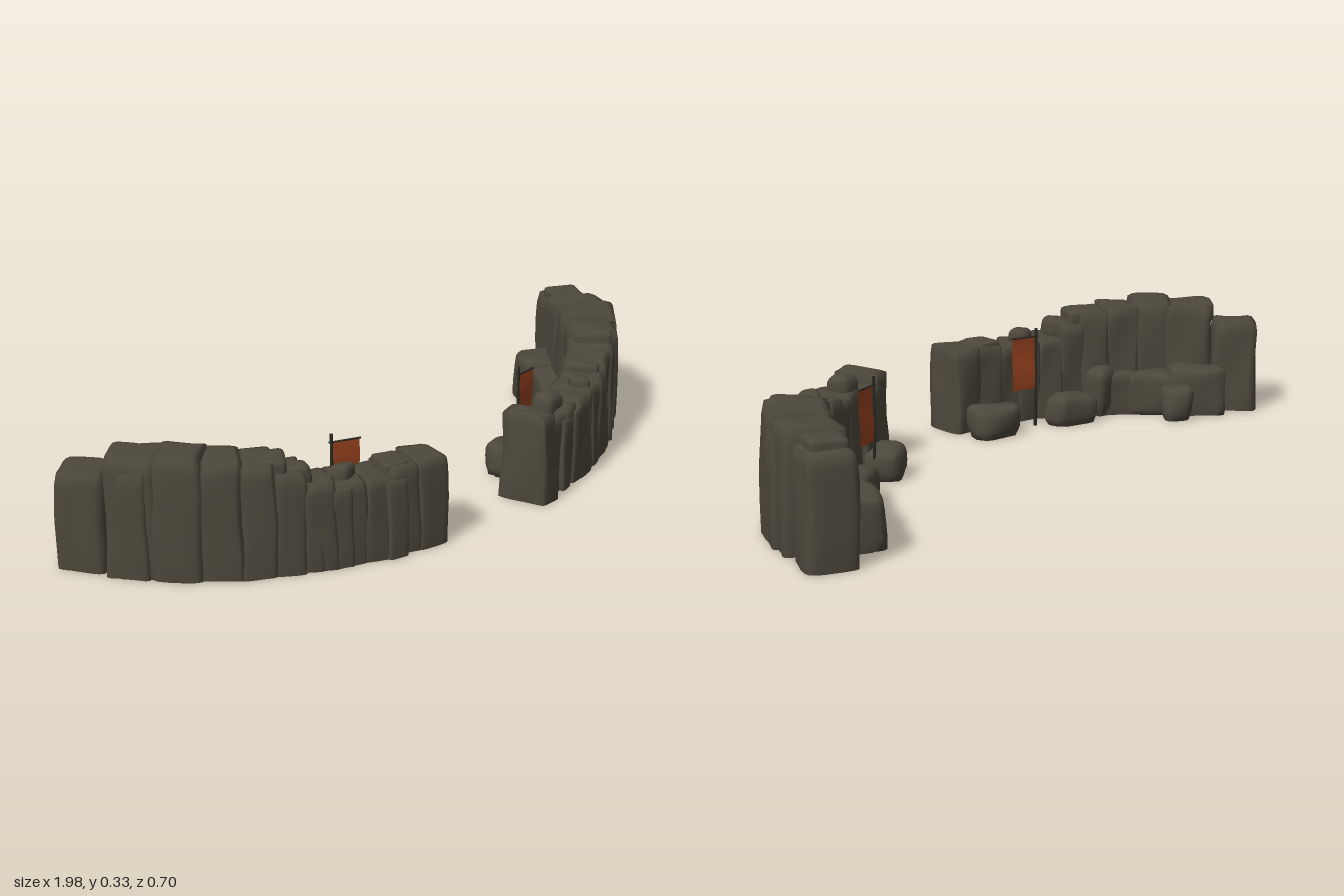
import * as THREE from 'three';
import { mergeVertices } from 'three/addons/utils/BufferGeometryUtils.js';

const rock = new THREE.MeshStandardMaterial({ color: 0x4d483c });
rock.name = 'dark rock';
const cloth = new THREE.MeshStandardMaterial({ color: 0x98421f, side: THREE.DoubleSide });
cloth.name = 'rust cloth';
const wood = new THREE.MeshStandardMaterial({ color: 0x2a2c24 });
wood.name = 'dark pole';

// Weathered stone block standing on its base: rounded edges, slight taper and bulges
function stoneGeometry(w, h, d, seed, round, rough) {
  let g = new THREE.BoxGeometry(2, 2, 2, 5, 6, 5);
  g.deleteAttribute('uv');
  g.deleteAttribute('normal');
  g = mergeVertices(g);
  const half = new THREE.Vector3(w / 2, h / 2, d / 2);
  const r = Math.min(w, h, d) * round;
  const core = half.clone().subScalar(r);
  const low = core.clone().negate();
  const p = new THREE.Vector3(), inner = new THREE.Vector3();
  const pos = g.attributes.position;
  const spread = (u) => Math.sign(u) * Math.pow(Math.abs(u), 0.65);
  for (let i = 0; i < pos.count; i++) {
    p.fromBufferAttribute(pos, i);
    p.set(spread(p.x), spread(p.y), spread(p.z)).multiply(half);
    inner.copy(p).clamp(low, core);
    p.sub(inner).setLength(r).add(inner);
    const t = p.y / h + 0.5;
    const a = Math.sin(p.x * 38 + p.y * 17 + seed * 2.3);
    const b = Math.sin(p.z * 33 - p.y * 21 + seed * 4.1);
    const c = Math.sin(p.x * 31 + p.z * 27 + seed * 1.7);
    p.x = p.x * (1.02 - 0.06 * t) + b * rough;
    p.z = p.z * (1.02 - 0.05 * t) + a * rough;
    const y = p.y + h / 2 + c * rough * t * 0.8;
    pos.setXYZ(i, p.x, t < 0.12 ? 0 : Math.max(0, y), p.z);
  }
  g.computeVertexNormals();
  return g;
}

let count = 0;
// Each row: x, z, yaw in degrees, width, depth, height, base height
function addStones(group, name, rows, round, rough) {
  for (const [x, z, yaw, w, d, h, y = 0] of rows) {
    const m = new THREE.Mesh(stoneGeometry(w, h, d, ++count, round, rough), rock);
    m.name = name;
    m.position.set(x, y, z);
    m.rotation.y = THREE.MathUtils.degToRad(yaw);
    group.add(m);
  }
}

// Pole with a hanging banner running from (x0, z0) to (x1, z1)
function addBanner(group, x0, z0, x1, z1) {
  const banner = new THREE.Group();
  banner.name = 'banner';
  const len = Math.hypot(x1 - x0, z1 - z0);
  const pole = new THREE.Mesh(new THREE.CylinderGeometry(0.004, 0.005, 0.285, 6), wood);
  pole.name = 'bannerPole';
  pole.position.y = 0.1425;
  const arm = new THREE.Mesh(new THREE.CylinderGeometry(0.0025, 0.0025, len + 0.015, 6), wood);
  arm.name = 'bannerArm';
  arm.rotation.z = Math.PI / 2;
  arm.position.set(len / 2, 0.262, 0);
  const g = new THREE.PlaneGeometry(len, 0.15, 3, 5);
  const pos = g.attributes.position;
  for (let i = 0; i < pos.count; i++) pos.setZ(i, 0.003 * Math.sin(pos.getY(i) * 40));
  g.computeVertexNormals();
  const flag = new THREE.Mesh(g, cloth);
  flag.name = 'bannerCloth';
  flag.position.set(len / 2 + 0.003, 0.185, 0);
  banner.add(pole, arm, flag);
  banner.position.set(x0, 0, z0);
  banner.rotation.y = -Math.atan2(z1 - z0, x1 - x0);
  group.add(banner);
}

export function createModel() {
  const model = new THREE.Group();
  model.name = 'rockWalls';

  // Left wall
  const left = new THREE.Group();
  left.name = 'leftWall';
  addStones(left, 'wallSlab', [
    [0.183, 0.275, 12, 0.075, 0.14, 0.245],
    [0.25, 0.245, 15, 0.09, 0.13, 0.215],
    [0.32, 0.235, 17, 0.08, 0.12, 0.222],
    [0.39, 0.215, 20, 0.09, 0.13, 0.215],
    [0.455, 0.185, 25, 0.085, 0.13, 0.23],
    [0.52, 0.158, 30, 0.09, 0.13, 0.24],
    [0.58, 0.12, 35, 0.09, 0.13, 0.265],
    [0.645, 0.075, 40, 0.1, 0.14, 0.275],
    [0.71, 0.02, 46, 0.11, 0.15, 0.305],
    [0.77, -0.05, 52, 0.14, 0.17, 0.322],
    [0.83, -0.145, 57, 0.14, 0.16, 0.312],
    [0.9, -0.263, 60, 0.135, 0.13, 0.282],
  ], 0.13, 0.004);
  // Lower ribs on the outer face and raised caps on the crest
  addStones(left, 'outerRib', [
    [0.3, 0.285, 15, 0.05, 0.05, 0.2],
    [0.36, 0.268, 18, 0.06, 0.05, 0.21],
    [0.48, 0.215, 26, 0.06, 0.06, 0.22],
    [0.61, 0.135, 38, 0.05, 0.06, 0.25],
    [0.86, -0.08, 58, 0.08, 0.06, 0.28],
  ], 0.2, 0.003);
  addStones(left, 'crestStone', [
    [0.885, -0.245, 60, 0.1, 0.1, 0.06, 0.248],
    [0.675, 0.06, 44, 0.07, 0.11, 0.06, 0.245],
    [0.55, 0.13, 33, 0.07, 0.1, 0.06, 0.2],
  ], 0.2, 0.002);
  addStones(left, 'innerLedge', [
    [0.755, -0.225, 57, 0.14, 0.12, 0.14],
    [0.705, -0.11, 55, 0.16, 0.12, 0.12],
    [0.63, -0.02, 46, 0.14, 0.1, 0.11],
  ], 0.2, 0.005);
  addStones(left, 'boulder', [
    [0.28, 0.1, 30, 0.13, 0.1, 0.085],
    [0.505, 0.005, 28, 0.15, 0.1, 0.09],
    [0.58, 0.05, 35, 0.09, 0.08, 0.13],
    [0.3, 0.235, 20, 0.075, 0.07, 0.065, 0.193],
    [0.455, 0.2, 50, 0.06, 0.06, 0.06, 0.197],
  ], 0.36, 0.006);
  addBanner(left, 0.335, 0.09, 0.4, 0.08);

  // Right wall
  const right = new THREE.Group();
  right.name = 'rightWall';
  addStones(right, 'wallSlab', [
    [-0.21, 0.265, -11, 0.095, 0.13, 0.24],
    [-0.29, 0.25, -14, 0.09, 0.13, 0.235],
    [-0.36, 0.235, -17, 0.085, 0.13, 0.22],
    [-0.43, 0.213, -22, 0.09, 0.13, 0.225],
    [-0.5, 0.183, -26, 0.085, 0.14, 0.23],
    [-0.565, 0.15, -30, 0.085, 0.14, 0.265],
    [-0.63, 0.113, -34, 0.09, 0.15, 0.298],
    [-0.7, 0.06, -40, 0.11, 0.15, 0.308],
    [-0.775, -0.005, -47, 0.13, 0.15, 0.322],
    [-0.84, -0.095, -52, 0.14, 0.15, 0.312],
    [-0.915, -0.21, -55, 0.13, 0.13, 0.262],
  ], 0.13, 0.004);
  addStones(right, 'outerRib', [
    [-0.33, 0.295, -15, 0.06, 0.05, 0.21],
    [-0.47, 0.245, -25, 0.06, 0.05, 0.21],
    [-0.53, 0.215, -30, 0.05, 0.05, 0.23],
    [-0.67, 0.135, -38, 0.06, 0.05, 0.27],
    [-0.88, -0.06, -53, 0.08, 0.06, 0.28],
  ], 0.2, 0.003);
  addStones(right, 'crestStone', [
    [-0.6, 0.13, -34, 0.08, 0.1, 0.06, 0.24],
    [-0.86, -0.12, -52, 0.08, 0.11, 0.05, 0.265],
    [-0.3, 0.245, -14, 0.07, 0.09, 0.04, 0.205],
  ], 0.2, 0.002);
  addStones(right, 'innerLedge', [
    [-0.79, -0.165, -52, 0.17, 0.11, 0.14],
    [-0.72, -0.06, -47, 0.17, 0.12, 0.12],
    [-0.645, 0.02, -40, 0.13, 0.1, 0.12],
  ], 0.2, 0.005);
  addStones(right, 'boulder', [
    [-0.22, 0.13, -20, 0.15, 0.1, 0.09],
    [-0.46, 0.045, -10, 0.14, 0.09, 0.085],
    [-0.6, 0.045, -5, 0.1, 0.1, 0.14],
    [-0.695, -0.165, -40, 0.09, 0.09, 0.1],
    [-0.545, 0.165, -30, 0.075, 0.07, 0.065, 0.215],
    [-0.44, 0.215, -60, 0.06, 0.06, 0.055, 0.198],
  ], 0.36, 0.006);
  addBanner(right, -0.37, 0.103, -0.3, 0.128);

  model.add(left, right);
  return model;
}
